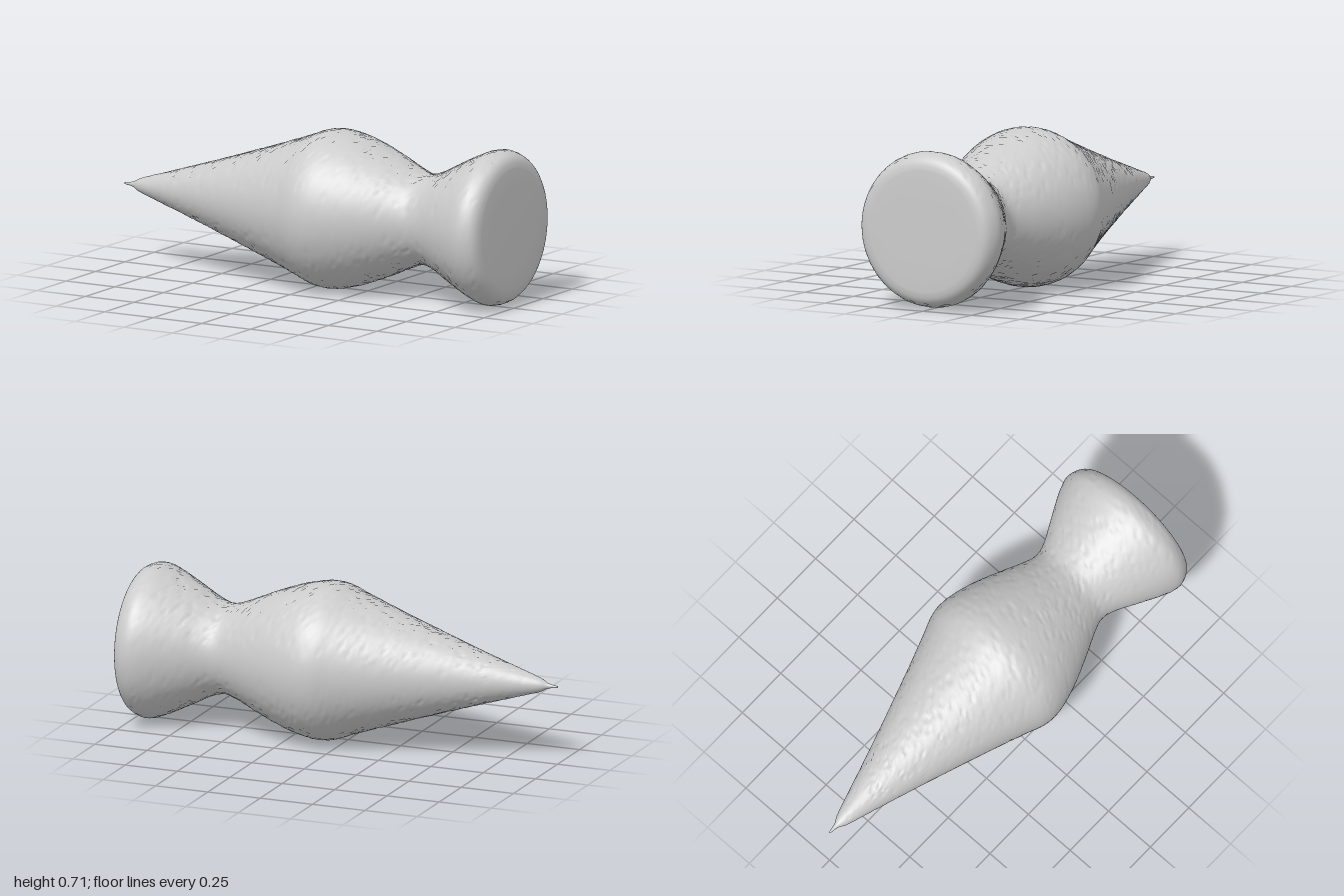
import * as THREE from 'three';
import { mergeVertices } from 'three/addons/utils/BufferGeometryUtils.js';

const AXIS_HEIGHT = 0.355;

// Repeatable value in 0..1 for a lattice cell
function hash(i, j) {
  const s = Math.sin(i * 127.1 + j * 311.7) * 43758.5453;
  return s - Math.floor(s);
}

export function createModel() {
  const group = new THREE.Group();
  group.name = 'turnedSpike';

  // Turned outline as (radius, position along the axis), tip to flat end
  const outline = new THREE.SplineCurve([
    [0.004, -1], [0.012, -0.955], [0.032, -0.915], [0.068, -0.8], [0.13, -0.6],
    [0.195, -0.4], [0.262, -0.2], [0.315, -0.05], [0.345, 0.03], [0.354, 0.09],
    [0.346, 0.16], [0.318, 0.26], [0.27, 0.38], [0.222, 0.49], [0.202, 0.56],
    [0.217, 0.63], [0.262, 0.72], [0.313, 0.82], [0.342, 0.89], [0.345, 0.93],
    [0.329, 0.97], [0.305, 0.99], [0.27, 0.998],
  ].map(([r, x]) => new THREE.Vector2(r, x)));
  const points = [new THREE.Vector2(0, -1), ...outline.getSpacedPoints(180),
    new THREE.Vector2(0.2, 1), new THREE.Vector2(0, 1)];

  let geometry = new THREE.LatheGeometry(points, 112);
  geometry.rotateZ(-Math.PI / 2);
  geometry.deleteAttribute('uv');
  geometry.deleteAttribute('normal');
  geometry = mergeVertices(geometry, 1e-5);

  // Fine pitted roughness, strongest on the upper and lower surfaces
  const pos = geometry.attributes.position;
  for (let i = 0; i < pos.count; i++) {
    const x = pos.getX(i), y = pos.getY(i), z = pos.getZ(i);
    const r = Math.hypot(y, z);
    if (r < 0.01 || x > 0.975) continue;
    const h = hash(Math.round(x * 90), Math.round(z * 90) + (y > 0 ? 500 : 0));
    const bump = h > 0.94 ? -0.007 : (h - 0.5) * 0.0035;
    const scale = 1 + bump * Math.abs(y / r) * Math.min(1, r * 8) / r;
    pos.setY(i, y * scale);
    pos.setZ(i, z * scale);
  }
  geometry.computeVertexNormals();

  const body = new THREE.Mesh(geometry, new THREE.MeshStandardMaterial({ color: 0xcccccc }));
  body.name = 'turnedBody';
  body.position.y = AXIS_HEIGHT;
  group.add(body);
  return group;
}
